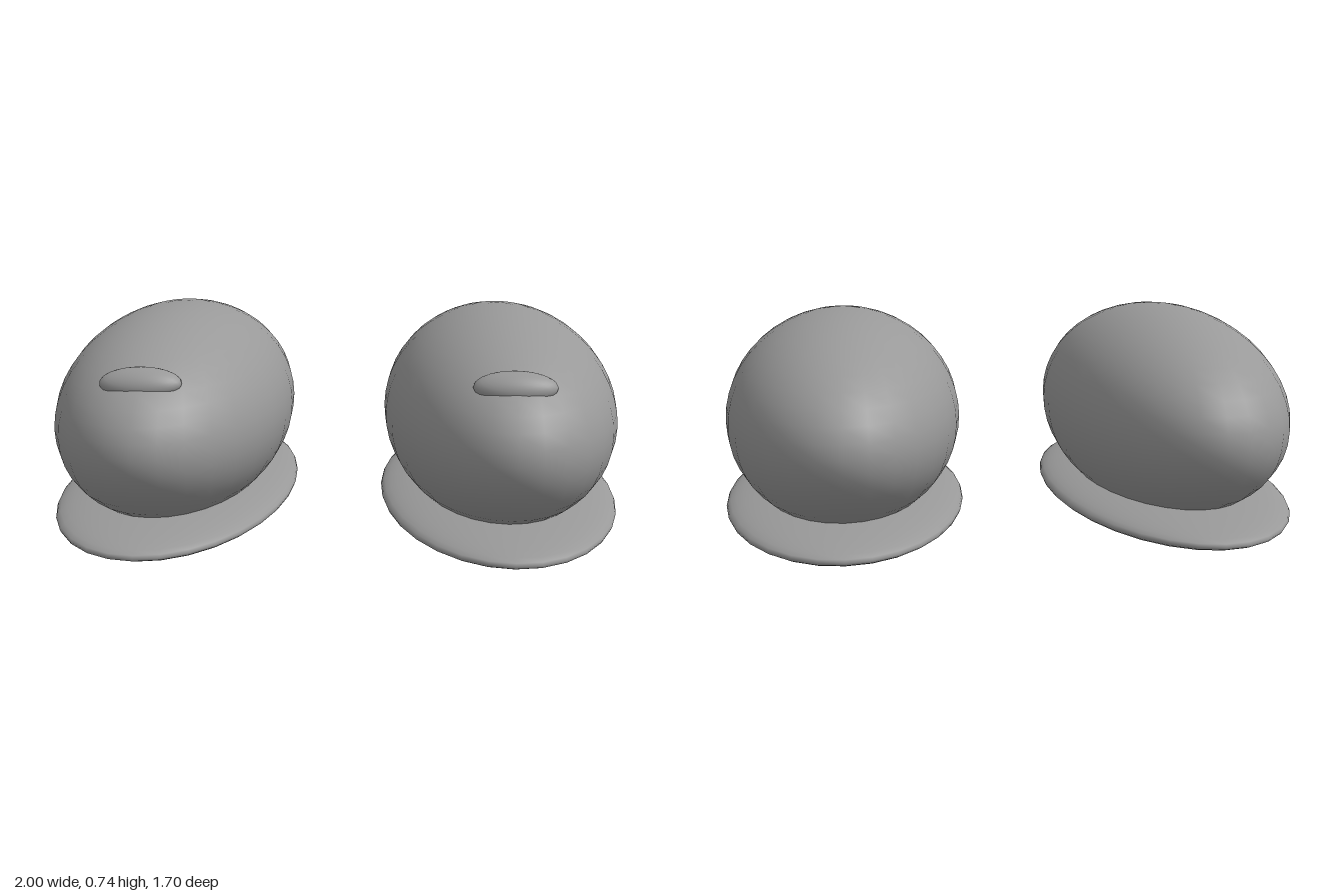
import * as THREE from 'three';

export function createModel() {
  const model = new THREE.Group();
  model.name = 'slippers';
  const grey = new THREE.MeshStandardMaterial({ color: 0x999999 });
  grey.name = 'grey';

  // Smooth ellipsoid from a stretched sphere
  function ellipsoid(name, radii, position, segments = 32, rings = 24) {
    const geometry = new THREE.SphereGeometry(1, segments, rings);
    geometry.scale(...radii);
    const mesh = new THREE.Mesh(geometry, grey);
    mesh.name = name;
    mesh.position.set(...position);
    return mesh;
  }

  for (const [side, x] of [['left', 0.58], ['right', -0.58]]) {
    const slipper = new THREE.Group();
    slipper.name = side + 'Slipper';
    slipper.position.x = x;

    // Thin flattened sole and the rounded body resting in it
    slipper.add(ellipsoid('sole', [0.42, 0.069, 0.85], [0, 0.069, 0]));
    slipper.add(ellipsoid('body', [0.41, 0.366, 0.832], [0, 0.371, 0]));

    // Small raised button on the toe, tilted to follow the body
    const button = ellipsoid('toeButton', [0.13, 0.045, 0.06], [0, 0.575, 0.65], 24, 16);
    button.rotation.x = 0.5;
    slipper.add(button);

    model.add(slipper);
  }
  return model;
}
